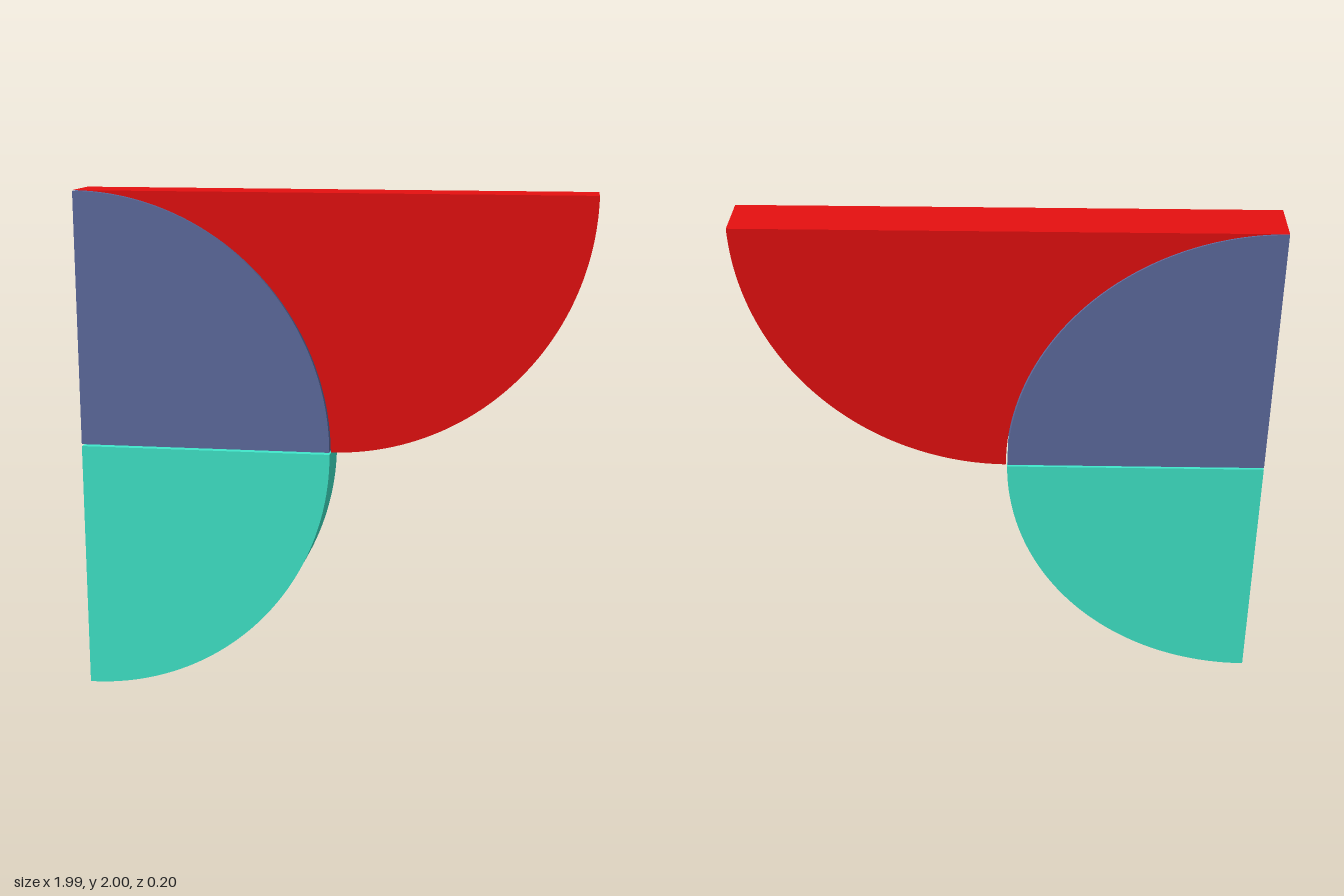
import * as THREE from 'three';
import { toCreasedNormals } from 'three/addons/utils/BufferGeometryUtils.js';

const DEPTH = 0.198;
const R = 0.995;
const LEFT = -0.995;

// Extrude a flat outline into a slab centred on z = 0
function slab(name, shape, color) {
  let geometry = new THREE.ExtrudeGeometry(shape, { depth: DEPTH, bevelEnabled: false, curveSegments: 48 });
  geometry.translate(0, 0, -DEPTH / 2);
  geometry = toCreasedNormals(geometry, 0.5);
  const mesh = new THREE.Mesh(geometry, new THREE.MeshStandardMaterial({ color }));
  mesh.name = name;
  return mesh;
}

// Quarter disc with its corner at (x, y), swept from angle start
function quarterDisc(x, y, radius, start) {
  const shape = new THREE.Shape();
  shape.moveTo(x, y);
  shape.lineTo(x + radius * Math.cos(start), y + radius * Math.sin(start));
  shape.absarc(x, y, radius, start, start + Math.PI / 2, false);
  shape.lineTo(x, y);
  return shape;
}

// Wing: flat top, convex arc at lower right, concave arc hugging the upper quarter
function wingShape() {
  const shape = new THREE.Shape();
  shape.absarc(LEFT, 1, 1, Math.PI / 2, 0.006, true);
  shape.absarc(0, 2, R, -Math.PI / 2 + 0.006, 0, false);
  shape.lineTo(LEFT, 2);
  return shape;
}

export function createModel() {
  const group = new THREE.Group();
  group.name = 'quarterCirclePanels';
  group.add(
    slab('upperQuarter', quarterDisc(LEFT, 1.003, 0.994, 0), 0x5e6ca0),
    slab('lowerQuarter', quarterDisc(LEFT, R, R, -Math.PI / 2), 0x40e8cb),
    slab('wing', wingShape(), 0xe61010)
  );
  return group;
}
